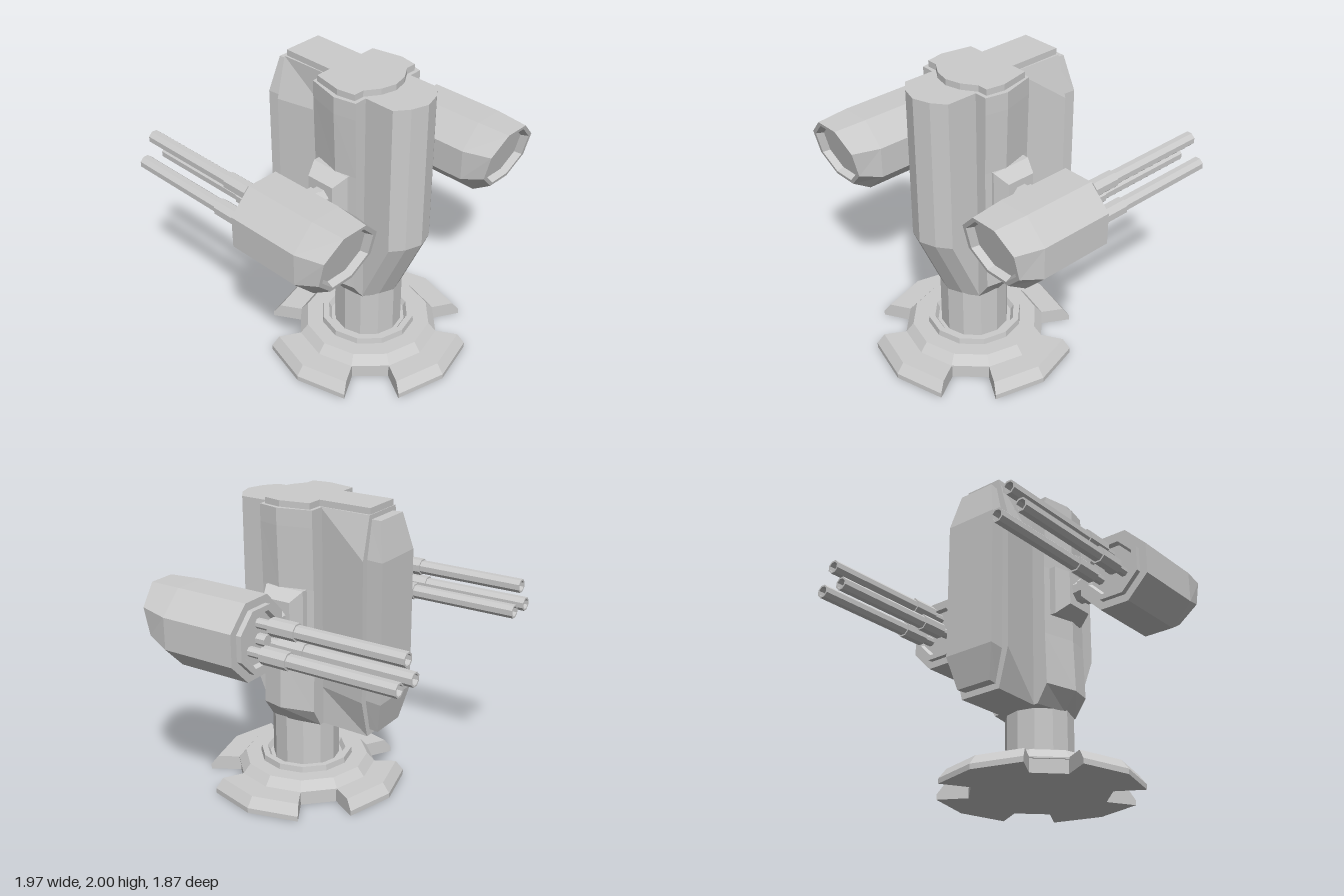
import * as THREE from 'three';

const material = new THREE.MeshStandardMaterial({ color: 0xcccccc, flatShading: true });

// Regular polygon, counter-clockwise, as [u, v] pairs
function poly(n, r, start = 0, cu = 0, cv = 0) {
  return Array.from({ length: n }, (_, i) => {
    const a = start + (i * 2 * Math.PI) / n;
    return [cu + r * Math.cos(a), cv + r * Math.sin(a)];
  });
}
const octagon = (apothem, cu = 0, cv = 0) => poly(8, apothem / Math.cos(Math.PI / 8), Math.PI / 8, cu, cv);
const rect = (w, h) => [[w, -h], [w, h], [-w, h], [-w, -h]];

// Completes a +x half outline (rear to front) with its mirror image
const mirror = (half) => [...half, ...half.filter((p) => p[0] !== 0).reverse().map(([x, z]) => [-x, z])];

const atY = (pts, y) => pts.map(([x, z]) => [x, y, z]); // level ring, stacked upward
const atZ = (pts, z) => pts.map(([x, y]) => [x, y, z]); // upright ring, stacked toward -z

// Skins successive rings and caps both ends; upright tells which plane the caps lie in
function loft(name, rings, upright = false) {
  const pos = [];
  const n = rings[0].length;
  const tri = (...pts) => pts.forEach((p) => pos.push(...p));
  for (let k = 0; k < rings.length - 1; k++) {
    for (let i = 0; i < n; i++) {
      const j = (i + 1) % n;
      const [a, b, A, B] = [rings[k][i], rings[k][j], rings[k + 1][i], rings[k + 1][j]];
      tri(a, B, b);
      tri(a, A, B);
    }
  }
  const cap = (ring, flip) => {
    const flat = ring.map((p) => new THREE.Vector2(p[0], upright ? p[1] : p[2]));
    for (const [a, b, c] of THREE.ShapeUtils.triangulateShape(flat, [])) {
      if (flip) tri(ring[a], ring[c], ring[b]);
      else tri(ring[a], ring[b], ring[c]);
    }
  };
  cap(rings[0], false);
  cap(rings[rings.length - 1], true);
  const geometry = new THREE.BufferGeometry();
  geometry.setAttribute('position', new THREE.Float32BufferAttribute(pos, 3));
  geometry.computeVertexNormals();
  const mesh = new THREE.Mesh(geometry, material);
  mesh.name = name;
  return mesh;
}

// Four wide feet with notches between, stepped rings and the neck
function createBase() {
  const base = new THREE.Group();
  base.name = 'base';
  const feet = (r) => {
    const pts = [];
    for (let q = 0; q < 4; q++) {
      for (const [deg, rad] of [[-30, 0.46], [-30, r], [0, r], [30, r], [30, 0.46]]) {
        const a = ((deg + q * 90) * Math.PI) / 180;
        pts.push([rad * Math.cos(a), rad * Math.sin(a)]);
      }
    }
    return pts;
  };
  const steps = [[0.47, 0.09], [0.47, 0.1], [0.42, 0.16], [0.315, 0.16], [0.31, 0.2], [0.27, 0.2], [0.25, 0.165]];
  base.add(
    loft('feet', [atY(feet(0.67), 0), atY(feet(0.67), 0.035), atY(feet(0.62), 0.1)]),
    loft('steppedRing', steps.map(([r, y]) => atY(poly(12, r), y))),
    loft('neck', [atY(poly(12, 0.225), 0.15), atY(poly(12, 0.225), 0.55)]),
  );
  base.position.z = 0.265;
  return base;
}

function createBody() {
  const body = new THREE.Group();
  body.name = 'body';

  // Faceted front column, leaning back toward the neck below
  const front = (dz) => mirror([[0.195, 0.3], [0.195, 0.6 + dz], [0.11, 0.665 + dz], [0, 0.7 + dz]]);
  body.add(loft('frontColumn', [atY(front(-0.21), 0.5), atY(front(0), 0.97), atY(front(0), 1.96)]));

  // Wide core, slightly waisted, tapered at the bottom
  const core = (s) => mirror([[0.25 * s, 0.025], [0.31 * s, 0.25], [0.28 * s, 0.395]]);
  const coreRings = [[0.7, 0.5], [1, 0.62], [0.96, 0.97], [0.96, 1.45], [1, 1.85], [1, 1.96]];
  body.add(loft('core', coreRings.map(([s, y]) => atY(core(s), y))));

  // Rear slab flares outward at mid height
  const slab = (w) => mirror([[w, -0.32], [0.14, 0.04]]);
  const slabRings = [[0.15, 0.5], [0.22, 0.76], [0.22, 1.69], [0.15, 1.96]];
  body.add(loft('rearSlab', slabRings.map(([w, y]) => atY(slab(w), y))));

  // Spine panel with bevelled ends
  const spine = (w, z) => mirror([[w, z], [w * 0.92, -0.3]]);
  const spineRings = [[0.13, -0.385, 0.54], [0.185, -0.435, 0.76], [0.185, -0.435, 1.69], [0.13, -0.385, 1.93]];
  body.add(loft('spine', spineRings.map(([w, z, y]) => atY(spine(w, z), y))));

  // Cap plate
  const plate = mirror([[0.135, -0.315], [0.135, 0.05], [0.24, 0.05], [0.28, 0.25],
    [0.26, 0.37], [0.19, 0.37], [0.1, 0.43], [0, 0.455]]);
  body.add(loft('topPlate', [atY(plate, 1.95), atY(plate, 2)]));
  return body;
}

// Side bracket and pivot, built along -z and turned outward
function createMount(side) {
  const mount = new THREE.Group();
  mount.name = side > 0 ? 'leftMount' : 'rightMount';
  mount.add(
    loft('bracket', [atZ(rect(0.14, 0.17), -0.2), atZ(rect(0.14, 0.17), -0.295), atZ(rect(0.1, 0.115), -0.385)], true),
    loft('pivot', [[0.07, 0.38], [0.07, 0.42], [0.085, 0.43], [0.085, 0.52]].map(([r, d]) => atZ(octagon(r), -d)), true),
  );
  mount.rotation.y = (-side * Math.PI) / 2;
  mount.position.set(0, 1.28, 0.21);
  return mount;
}

function createGun(side) {
  const gun = new THREE.Group();
  gun.name = side > 0 ? 'leftGun' : 'rightGun';

  // Housing: recessed slanted front, tapered nose, stepped and recessed back
  const slanted = (a, depth) => octagon(a, 0, 0.032).map(([x, y]) => [x, y, 0.765 - depth + y * 0.245]);
  gun.add(loft('housing', [
    slanted(0.17, 0.05), slanted(0.185, 0), slanted(0.21, 0),
    atZ(octagon(0.25), 0.6), atZ(octagon(0.25), 0.09),
    atZ(octagon(0.2), 0.09), atZ(octagon(0.2), 0.055),
    atZ(octagon(0.165), 0.055), atZ(octagon(0.15), 0.08),
  ], true));
  gun.add(loft('hub', [atZ(octagon(0.035), 0.1), atZ(octagon(0.035), 0.015)], true));

  // Three hollow barrels, each with stem and sleeve
  const profile = [[0.03, 0.1], [0.03, -0.02], [0.053, -0.02], [0.053, -0.205],
    [0.043, -0.205], [0.043, -0.935], [0.032, -0.935], [0.032, -0.7]];
  for (const [x, y] of poly(3, 0.1, Math.PI / 2)) {
    const barrel = loft('barrel', profile.map(([r, z]) => atZ(octagon(r), z)), true);
    barrel.position.set(x, y, 0);
    gun.add(barrel);
  }
  gun.position.set(side * 0.735, 1.282, 0);
  return gun;
}

export function createModel() {
  const model = new THREE.Group();
  model.name = 'turret';
  model.add(createBase(), createBody());
  for (const side of [1, -1]) model.add(createMount(side), createGun(side));
  return model;
}
